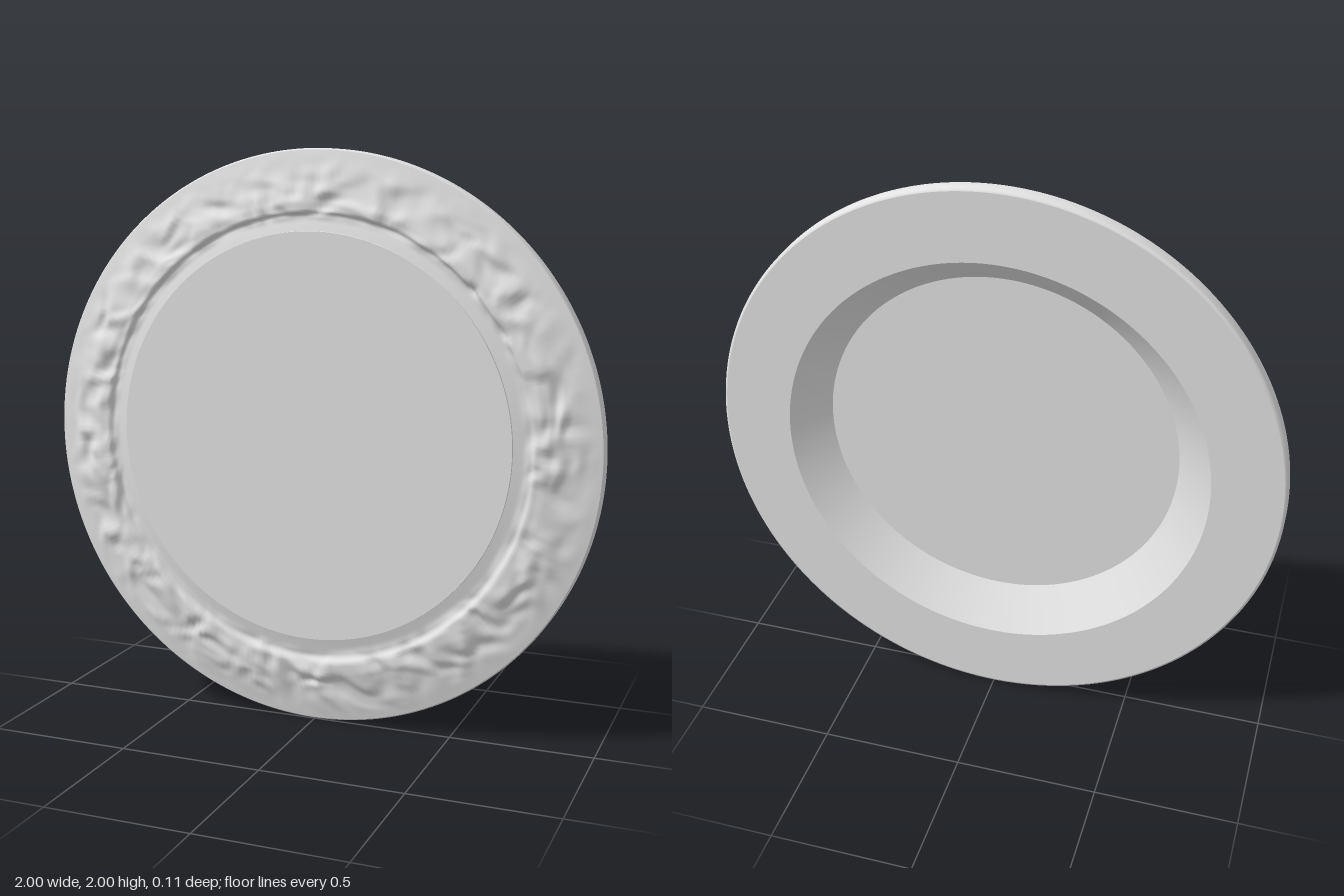
import * as THREE from 'three';
import { mergeVertices } from 'three/addons/utils/BufferGeometryUtils.js';

const SEGMENTS = 320;
const PANEL_RISE = 0.018; // the centre panel sits slightly high in its frame

// Seeded hash and smooth value noise in -1..1, for the hammered relief
function hash(i, j) {
  const s = Math.sin(i * 127.1 + j * 311.7) * 43758.5453;
  return (s - Math.floor(s)) * 2 - 1;
}
function noise(x, y) {
  const i = Math.floor(x), j = Math.floor(y);
  const ease = (t) => t * t * (3 - 2 * t);
  const u = ease(x - i), v = ease(y - j);
  const mix = THREE.MathUtils.lerp;
  return mix(mix(hash(i, j), hash(i + 1, j), u), mix(hash(i, j + 1), hash(i + 1, j + 1), u), v);
}

// Revolves [radius, z] points about the z axis; points run outward on the back, inward on the front
function revolve(points) {
  const geometry = new THREE.LatheGeometry(points.map(([r, z]) => new THREE.Vector2(r, z)), SEGMENTS);
  return geometry.rotateX(Math.PI / 2);
}

// Subdivides a profile into short, even steps
function refine(points, step) {
  const out = [points[0]];
  for (let k = 1; k < points.length; k++) {
    const [r0, z0] = points[k - 1], [r1, z1] = points[k];
    const n = Math.max(1, Math.round(Math.hypot(r1 - r0, z1 - z0) / step));
    for (let i = 1; i <= n; i++) out.push([r0 + (r1 - r0) * i / n, z0 + (z1 - z0) * i / n]);
  }
  return out;
}

// Sloping front ring with irregular folds and a groove around the panel
function reliefGeometry() {
  const profile = [[0.995, 0], [0.82, 0.041], [0.785, 0.044], [0.768, 0.031], [0.745, 0.033], [0.7, 0.045]];
  let geometry = revolve(refine(profile, 0.008));
  geometry.deleteAttribute('uv');
  geometry.deleteAttribute('normal');
  geometry = mergeVertices(geometry, 1e-5);
  const smooth = THREE.MathUtils.smoothstep;
  const p = geometry.attributes.position;
  for (let i = 0; i < p.count; i++) {
    const x = p.getX(i), y = p.getY(i), r = Math.hypot(x, y);
    const fade = smooth(r, 0.74, 0.79) * (1 - smooth(r, 0.86, 0.99));
    const wx = x + 0.04 * noise(x * 9 + 5, y * 9), wy = y + 0.04 * noise(x * 9, y * 9 + 8);
    const folds = noise(wx * 28 + 40, wy * 16 + 40) * 0.6 + noise(wx * 15 + 90, wy * 30 + 60) * 0.5;
    p.setZ(i, Math.min(0.05, p.getZ(i) + 0.018 * folds * fade));
    p.setY(i, y + PANEL_RISE * (1 - smooth(r, 0.72, 0.85)));
  }
  geometry.computeVertexNormals();
  return geometry;
}

// Funnel-shaped back opening whose inner end drifts upward
function bevelGeometry(backZ, panelZ) {
  const geometry = revolve([[0.625, panelZ], [0.75, backZ]]);
  const p = geometry.attributes.position;
  for (let i = 0; i < p.count; i++) {
    const inward = (p.getZ(i) - backZ) / (panelZ - backZ);
    p.setY(i, p.getY(i) + 0.03 * inward);
  }
  geometry.computeVertexNormals();
  return geometry;
}

export function createModel() {
  const model = new THREE.Group();
  model.name = 'roundPlaque';
  const stone = new THREE.MeshStandardMaterial({ color: 0xe5e5e5 });
  stone.name = 'pale grey';

  const body = new THREE.Group();
  body.name = 'disc';
  body.position.y = 1;
  model.add(body);

  const add = (name, geometry, rise = 0) => {
    const mesh = new THREE.Mesh(geometry, stone);
    mesh.name = name;
    mesh.position.y = rise;
    body.add(mesh);
  };

  // Raised centre panel with its rim
  add('frontPanel', revolve([[0.708, 0.049], [0, 0.049]]), PANEL_RISE);
  add('panelRim', revolve([[0.71, 0.036], [0.708, 0.049]]), PANEL_RISE);
  add('backPanel', revolve([[0, 0.043], [0.65, 0.043]]), PANEL_RISE);
  // Back of the frame
  add('backBevel', bevelGeometry(-0.055, 0.043));
  add('backRing', revolve([[0.75, -0.055], [0.99, -0.055]]));
  // Outer edge with softened corners
  add('outerEdge', revolve([[0.99, -0.055], [0.997, -0.052], [1, -0.045], [1, -0.006], [0.995, 0]]));
  // Carved front of the frame
  add('reliefRing', reliefGeometry());
  return model;
}
